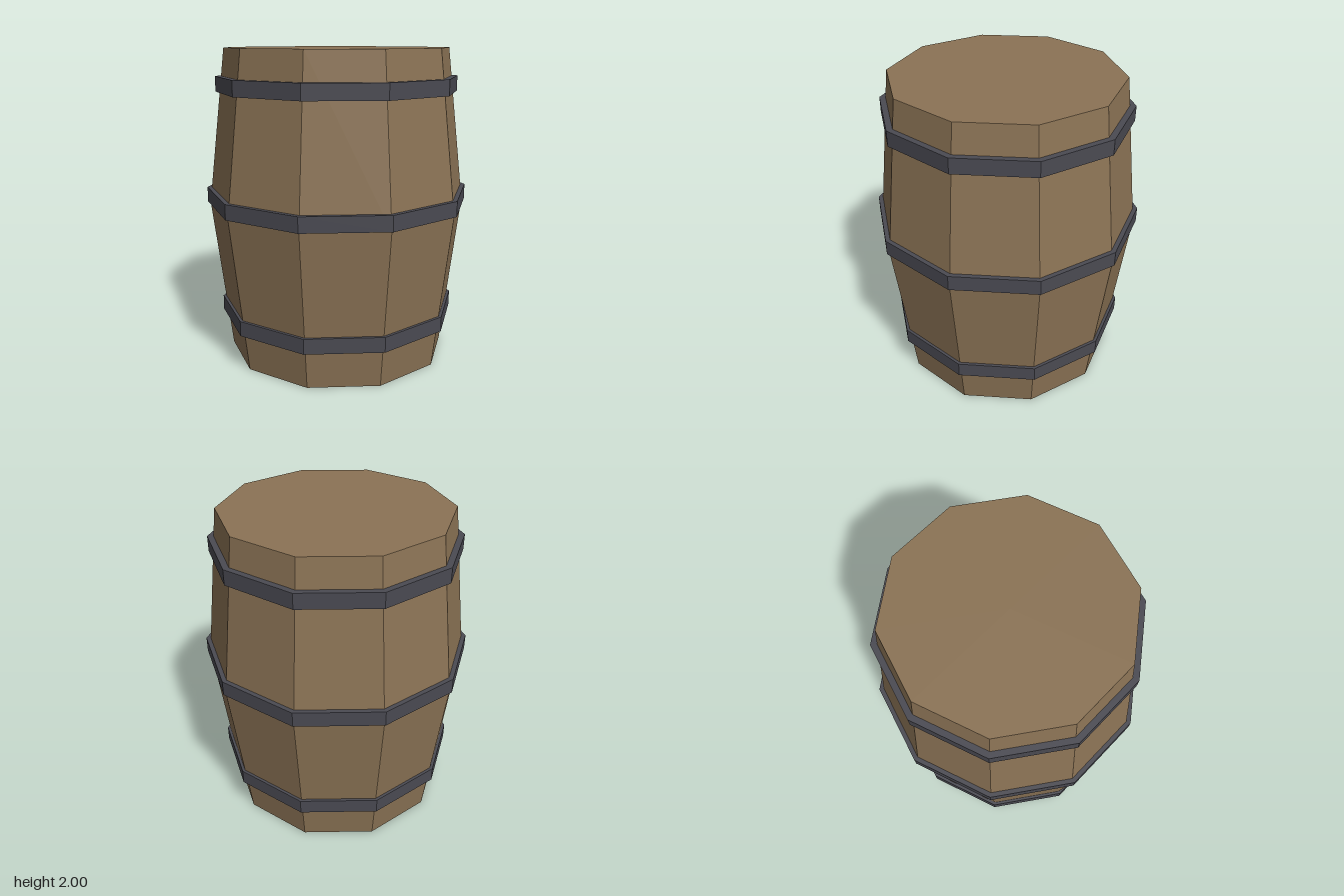
import * as THREE from 'three';

const SIDES = 10;
const END_RADIUS = 0.72;
const BELLY_RADIUS = 0.84;

// Outer radius of the wooden body at a given height
const bodyRadius = (y) => THREE.MathUtils.lerp(BELLY_RADIUS, END_RADIUS, Math.abs(y - 1));

// Faceted solid turned from [radius, height] points, listed bottom to top on the outside
function turned(name, points, material) {
  const profile = points.map(([r, y]) => new THREE.Vector2(r, y));
  const mesh = new THREE.Mesh(new THREE.LatheGeometry(profile, SIDES), material);
  mesh.name = name;
  return mesh;
}

export function createModel() {
  const wood = new THREE.MeshStandardMaterial({ name: 'wood', color: 0x8b7355, flatShading: true });
  const iron = new THREE.MeshStandardMaterial({ name: 'iron', color: 0x4a4a52, flatShading: true });

  const barrel = new THREE.Group();
  barrel.name = 'barrel';

  // Bulging body with flat closed ends
  barrel.add(turned('body', [[0, 0], [END_RADIUS, 0], [BELLY_RADIUS, 1], [END_RADIUS, 2], [0, 2]], wood));

  // Straight-sided hoops, set slightly into the wood
  const hoops = [
    ['lowerHoop', 0.245, 0.78],
    ['middleHoop', 1.005, 0.857],
    ['upperHoop', 1.725, 0.78],
  ];
  for (const [name, y, outer] of hoops) {
    const top = y + 0.097;
    const inner = Math.min(bodyRadius(y), bodyRadius(top)) - 0.02;
    barrel.add(turned(name, [[inner, y], [outer, y], [outer, top], [inner, top], [inner, y]], iron));
  }

  return barrel;
}
